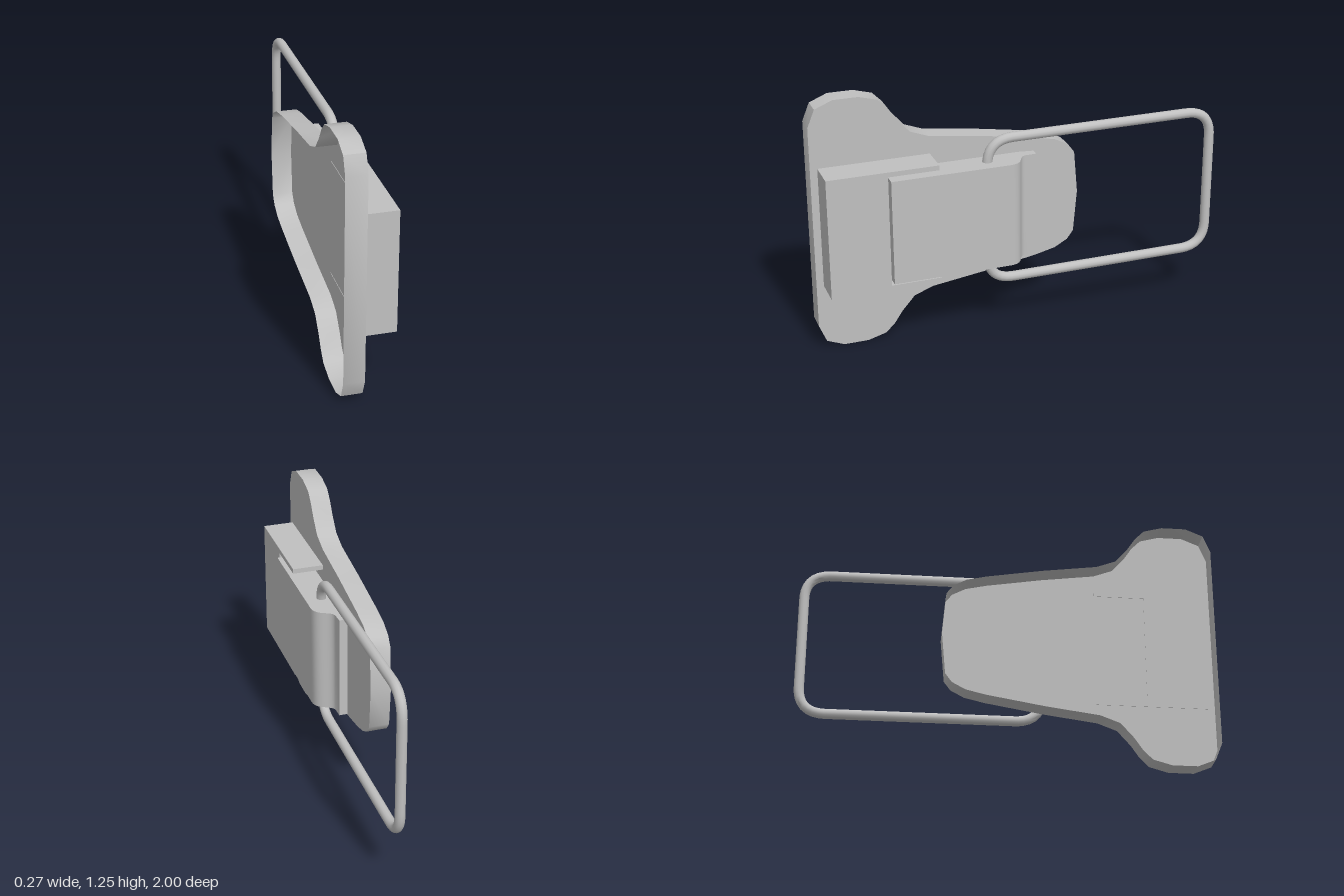
import * as THREE from 'three';
import { toCreasedNormals } from 'three/addons/utils/BufferGeometryUtils.js';

const steel = new THREE.MeshStandardMaterial({ color: 0xc0c0c0, side: THREE.DoubleSide });
steel.name = 'steel grey';

const MID = 0.625; // height of the mirror plane

function part(name, geometry, crease = 0.6) {
  const mesh = new THREE.Mesh(toCreasedNormals(geometry, crease), steel);
  mesh.name = name;
  return mesh;
}

// Extrude an outline of [z, y] points along x
function extrudeX(points, x0, x1) {
  const shape = new THREE.Shape(points.map(([z, y]) => new THREE.Vector2(-z, y)));
  const g = new THREE.ExtrudeGeometry(shape, { depth: x1 - x0, bevelEnabled: false });
  return g.rotateY(Math.PI / 2).translate(x0, 0, 0);
}

export function createModel() {
  const model = new THREE.Group();

  // Base plate: a thin pan, open on the -x side
  const half = [[1, 1.13], [0.965, 1.215], [0.88, 1.25], [0.76, 1.25], [0.67, 1.225], [0.625, 1.18],
    [0.587, 1.123], [0.523, 1.05], [0.43, 1.015], [0.17, 0.98], [-0.1, 0.935], [-0.2, 0.912],
    [-0.265, 0.877], [-0.297, 0.834], [-0.315, MID]];
  const mirrored = half.slice(0, -1).reverse().map(([z, y]) => [z, 2 * MID - y]);
  const outline = [...half, ...mirrored];
  const plate = new THREE.Group();
  plate.name = 'basePlate';
  const faceShape = new THREE.Shape(outline.map(([z, y]) => new THREE.Vector2(-z, y)));
  plate.add(part('plateFace',
    new THREE.ShapeGeometry(faceShape).rotateY(Math.PI / 2).translate(-0.035, 0, 0)));

  const rim = new THREE.PlaneGeometry(1, 1, outline.length, 1);
  const pos = rim.attributes.position;
  for (let i = 0; i < pos.count; i++) {
    const [z, y] = outline[i % (outline.length + 1) % outline.length];
    pos.setXYZ(i, i <= outline.length ? -0.135 : -0.035, y, z);
  }
  // Turn the strip's faces outward
  const index = rim.index.array;
  for (let i = 0; i < index.length; i += 3) {
    const swap = index[i + 1];
    index[i + 1] = index[i + 2];
    index[i + 2] = swap;
  }
  const a = new THREE.Vector3(), b = new THREE.Vector3(), c = new THREE.Vector3();
  a.fromBufferAttribute(pos, index[0]);
  b.fromBufferAttribute(pos, index[1]).sub(a);
  c.fromBufferAttribute(pos, index[2]).sub(a);
  if (b.cross(c).z < 0) index.reverse();
  plate.add(part('plateRim', rim));
  model.add(plate);

  // Housing: block with two arms beside the lever
  model.add(part('housing', extrudeX([[0.965, 0.33], [0.965, 0.928], [0.43, 0.928], [0.43, 0.904],
    [0.675, 0.904], [0.675, 0.354], [0.43, 0.354], [0.43, 0.33]], -0.037, 0.118)));

  // Lever: side profile in x, z, extruded upward, with a stepped tab at the tail
  const profile = new THREE.Shape();
  profile.moveTo(-0.01, 0.665);
  profile.lineTo(-0.01, 0.0);
  profile.lineTo(0.0, -0.072);
  profile.lineTo(0.04, -0.072);
  profile.lineTo(0.042, -0.015);
  profile.bezierCurveTo(0.055, 0.03, 0.13, 0.01, 0.132, 0.09);
  profile.lineTo(0.132, 0.665);
  const lever = new THREE.ExtrudeGeometry(profile, { depth: 0.52, bevelEnabled: false, curveSegments: 10 });
  model.add(part('lever', lever.rotateX(Math.PI / 2).translate(0, MID + 0.26, 0)));

  // Wire loop: rounded rectangle that passes through the lever
  const X = 0.052, R = 0.13;
  const corners = [[0.178, 0.992], [-0.975, 0.992], [-0.975, 0.265], [0.178, 0.265]]
    .map(([z, y]) => new THREE.Vector3(X, y, z));
  const path = new THREE.CurvePath();
  const toward = (p, q) => p.clone().add(q.clone().sub(p).setLength(R));
  corners.forEach((p, i) => {
    const prev = corners[(i + 3) % 4], next = corners[(i + 1) % 4];
    path.add(new THREE.QuadraticBezierCurve3(toward(p, prev), p, toward(p, next)));
    path.add(new THREE.LineCurve3(toward(p, next), toward(next, p)));
  });
  model.add(part('wireLoop', new THREE.TubeGeometry(path, 140, 0.024, 12, true), 1));

  return model;
}
